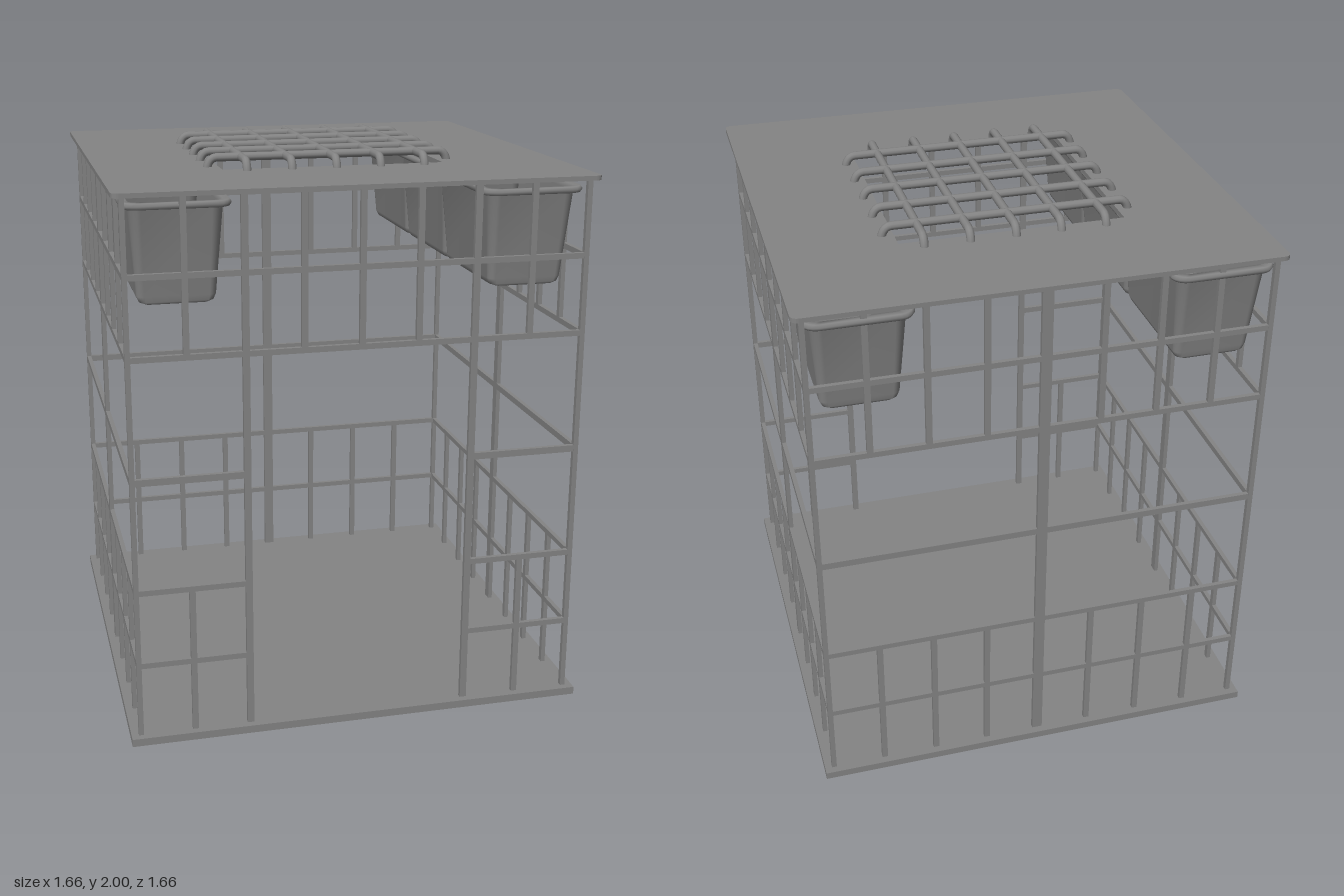
import * as THREE from 'three';

const mat = new THREE.MeshStandardMaterial({ color: 0x848484 });
const openMat = new THREE.MeshStandardMaterial({ color: 0x848484, side: THREE.DoubleSide });
const H = 0.795;      // half width of the cage
const TOP = 1.94;     // underside of the roof
const DEEP = 0.016;   // depth of the flat wall bars

function add(parent, name, geometry, material = mat) {
  const mesh = new THREE.Mesh(geometry, material);
  mesh.name = name;
  parent.add(mesh);
  return mesh;
}

// Rounded rectangle as a closed list of points
function roundRect(hx, hz, r, steps = 5) {
  const pts = [];
  [[1, 1], [-1, 1], [-1, -1], [1, -1]].forEach(([sx, sz], q) => {
    for (let i = 0; i <= steps; i++) {
      const a = (q + i / steps) * Math.PI / 2;
      pts.push(new THREE.Vector2(sx * (hx - r) + r * Math.cos(a), sz * (hz - r) + r * Math.sin(a)));
    }
  });
  return pts;
}

// Roof plate with rounded corners and a square hole
function roofGeometry(half, thickness, y, hole) {
  const shape = new THREE.Shape(roundRect(half, half, 0.025));
  shape.holes.push(new THREE.Path([[-hole, -hole], [-hole, hole], [hole, hole], [hole, -hole]]
    .map(p => new THREE.Vector2(...p))));
  const g = new THREE.ExtrudeGeometry(shape, { depth: thickness, bevelEnabled: false });
  return g.rotateX(-Math.PI / 2).translate(0, y, 0);
}

// One wall of flat bars in the plane z = H
function wall(name, hasDoor) {
  const g = new THREE.Group();
  g.name = name;
  const post = (x, y0, y1, w = 0.021) =>
    add(g, 'upright', new THREE.BoxGeometry(w, y1 - y0, DEEP)).position.set(x, (y0 + y1) / 2, H);
  const rail = (x0, x1, y, h = 0.02) =>
    add(g, 'rail', new THREE.BoxGeometry(x1 - x0, h, DEEP)).position.set((x0 + x1) / 2, y, H);
  [1.4, 1.675].forEach(y => rail(-H, H, y));
  [[0.295, 0.02], [0.57, 0.02], [0.973, 0.024]].forEach(([y, h]) => {
    if (hasDoor) {
      rail(-H, -0.4, y, h);
      rail(0.4, H, y, h);
    } else rail(-H, H, y, h);
  });
  for (let i = -3; i <= 3; i++) {
    const x = i * 0.2;
    if (hasDoor && Math.abs(i) === 2) post(x, 0.02, TOP, 0.024);
    else if (!hasDoor && i === 0) post(x, 0.02, TOP, 0.038);
    else {
      post(x, 1.4, TOP);
      if (!hasDoor || Math.abs(i) === 3) post(x, 0.02, 0.57);
    }
  }
  return g;
}

// Open tapered tub lofted through rounded rectangles: [halfX, halfZ, y, radius]
function tubGeometry() {
  const rings = [
    [0.105, 0.23, 1.56, 0.015], [0.125, 0.233, 1.567, 0.02], [0.134, 0.237, 1.587, 0.025],
    [0.157, 0.28, 1.885, 0.04], [0.178, 0.3, 1.887, 0.05], [0.184, 0.304, 1.898, 0.05],
    [0.178, 0.3, 1.909, 0.05], [0.155, 0.278, 1.908, 0.04], [0.15, 0.273, 1.89, 0.035],
    [0.126, 0.23, 1.592, 0.02], [0.105, 0.224, 1.57, 0.015],
  ];
  const pos = [], idx = [];
  const n = roundRect(1, 1, 0.1).length;
  for (const [hx, hz, y, r] of rings) {
    for (const p of roundRect(hx, hz, r)) pos.push(p.x, y, p.y);
  }
  for (let k = 0; k < rings.length - 1; k++) {
    for (let i = 0; i < n; i++) {
      const a = k * n + i, b = k * n + (i + 1) % n;
      idx.push(a, a + n, b, b, a + n, b + n);
    }
  }
  // Outer and inner floor of the tub
  const inner = (rings.length - 1) * n;
  for (let i = 1; i < n - 1; i++) {
    idx.push(0, i, i + 1);
    idx.push(inner, inner + i + 1, inner + i);
  }
  const g = new THREE.BufferGeometry();
  g.setAttribute('position', new THREE.Float32BufferAttribute(pos, 3));
  g.setIndex(idx);
  g.computeVertexNormals();
  return g;
}

// Raised bar of the roof grille, with its ends bent down to the roof
function grilleBar() {
  const path = new THREE.CurvePath();
  const v = (x, y) => new THREE.Vector3(x, y, 0);
  path.add(new THREE.QuadraticBezierCurve3(v(-0.442, 1.94), v(-0.436, 1.985), v(-0.405, 1.985)));
  path.add(new THREE.LineCurve3(v(-0.405, 1.985), v(0.405, 1.985)));
  path.add(new THREE.QuadraticBezierCurve3(v(0.405, 1.985), v(0.436, 1.985), v(0.442, 1.94)));
  return new THREE.TubeGeometry(path, 90, 0.015, 10);
}

export function createModel() {
  const model = new THREE.Group();
  model.name = 'cage';

  add(model, 'floor', new THREE.BoxGeometry(1.66, 0.028, 1.66)).position.y = 0.014;
  add(model, 'roof', roofGeometry(0.83, 0.016, 1.937, 0.4));

  // Walls: the front one has the doorway
  ['frontWall', 'leftWall', 'backWall', 'rightWall'].forEach((name, i) => {
    const w = wall(name, i === 0);
    w.rotation.y = i * Math.PI / 2;
    model.add(w);
  });

  // Corner posts
  for (const x of [-H, H]) {
    for (const z of [-H, H]) {
      add(model, 'cornerPost', new THREE.BoxGeometry(0.018, TOP - 0.02, 0.018))
        .position.set(x, (TOP + 0.02) / 2, z);
    }
  }

  // Three tubs hung along each side
  const tub = tubGeometry();
  for (const side of [-1, 1]) {
    for (const z of [0.47, -0.018, -0.505]) {
      add(model, side > 0 ? 'leftTub' : 'rightTub', tub, openMat).position.set(side * 0.612, 0, z);
    }
  }

  // Roof grille
  const grille = new THREE.Group();
  grille.name = 'roofGrille';
  model.add(grille);
  const bar = grilleBar();
  for (let i = -2; i <= 2; i++) {
    add(grille, 'crossBar', bar).position.z = i * 0.16;
    const m = add(grille, 'lengthBar', bar);
    m.rotation.y = Math.PI / 2;
    m.position.x = i * 0.16;
  }
  return model;
}
